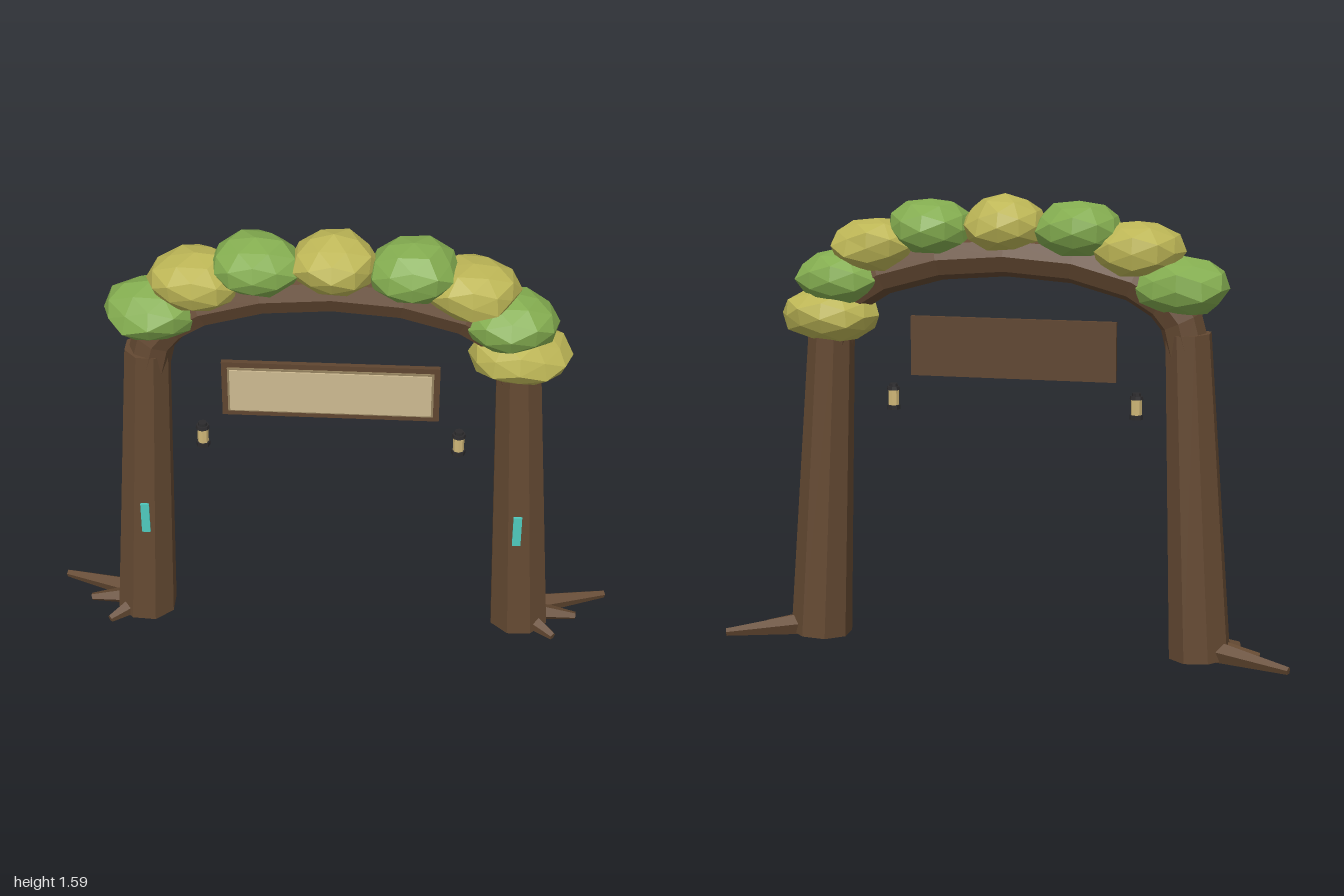
import * as THREE from 'three';

const flat = (name, color, extra = {}) => {
  const m = new THREE.MeshStandardMaterial({ color, flatShading: true, ...extra });
  m.name = name;
  return m;
};

export function createModel() {
  const root = new THREE.Group();
  root.name = 'gardenArch';
  const bark = flat('bark', 0x644932);
  const green = flat('leafGreen', 0x84ad50);
  const yellow = flat('leafYellow', 0xbdb656);
  const frame = flat('signFrame', 0x5f4530);
  const parchment = flat('parchment', 0xcdba91);
  const rim = flat('parchmentRim', 0x95835f);
  const iron = flat('iron', 0x2c2b2d);
  const glow = flat('lanternGlass', 0xd0b878);
  const teal = flat('tealMark', 0x4fcabe);

  const add = (parent, name, geo, mat, x = 0, y = 0, z = 0) => {
    const mesh = new THREE.Mesh(geo, mat);
    mesh.name = name;
    mesh.position.set(x, y, z);
    parent.add(mesh);
    return mesh;
  };

  // Tapered limb running between two points
  const limb = (parent, name, a, b, ra, rb, sides, turn = 0) => {
    const dir = b.clone().sub(a);
    const geo = new THREE.CylinderGeometry(rb, ra, dir.length(), sides);
    geo.rotateY(turn);
    const mesh = add(parent, name, geo, bark);
    mesh.position.copy(a).add(b).multiplyScalar(0.5);
    mesh.quaternion.setFromUnitVectors(new THREE.Vector3(0, 1, 0), dir.normalize());
    return mesh;
  };
  const v = (x, y, z = 0) => new THREE.Vector3(x, y, z);

  for (const s of [-1, 1]) {
    const side = s > 0 ? 'left' : 'right';
    // Leaning post
    limb(root, side + 'Post', v(s * 0.683, 0.015), v(s * 0.625, 1.14), 0.109, 0.08, 8, Math.PI / 8);

    // Splayed roots: long rear, middle, short front
    [[1.0, -0.13], [0.89, 0], [0.805, 0.12]].forEach(([x, z], i) => {
      limb(root, side + 'Root' + (i + 1), v(s * 0.68, 0.05, z * 0.1),
        v(s * x, 0.024, z), 0.045, 0.014, 5);
    });

    // Teal marker plate
    add(root, side + 'Marker', new THREE.BoxGeometry(0.03, 0.122, 0.008), teal, s * 0.652, 0.49, 0.108);

    // Hanging lantern
    const lantern = new THREE.Group();
    lantern.name = side + 'Lantern';
    lantern.position.set(s * 0.435, 0, 0.105);
    root.add(lantern);
    add(lantern, 'lanternBase', new THREE.CylinderGeometry(0.024, 0.024, 0.016, 8), iron, 0, 0.825, 0);
    add(lantern, 'lanternGlass', new THREE.CylinderGeometry(0.019, 0.019, 0.06, 8), glow, 0, 0.862, 0);
    add(lantern, 'lanternCap', new THREE.CylinderGeometry(0.022, 0.024, 0.012, 8), iron, 0, 0.893, 0);
    add(lantern, 'lanternKnob', new THREE.CylinderGeometry(0.015, 0.016, 0.011, 8), iron, 0, 0.904, 0);
  }

  // Curved beam joining the posts
  const half = [[0.625, 1.08], [0.6, 1.18], [0.545, 1.25], [0.44, 1.315], [0.235, 1.372]];
  const path = new THREE.CurvePath();
  const pts = [
    ...half.map(([x, y]) => v(-x, y)), v(0, 1.39), ...half.map(([x, y]) => v(x, y)).reverse(),
  ];
  for (let i = 1; i < pts.length; i++) path.add(new THREE.LineCurve3(pts[i - 1], pts[i]));
  // Sample exactly at the bends so the beam stays faceted
  path.getPointAt = (u) => path.curves[Math.min(9, Math.floor(u * 10 + 1e-6))]
    .getPoint(u * 10 - Math.min(9, Math.floor(u * 10 + 1e-6)));
  path.getTangentAt = (u) => {
    const i = Math.round(u * 10);
    return pts[Math.min(10, i + 1)].clone().sub(pts[Math.max(0, i - 1)]).normalize();
  };
  add(root, 'archBeam', new THREE.TubeGeometry(path, 10, 0.075, 8, false), bark);

  // Faceted leaf clumps with small repeatable bumps
  const clump = (seed, rx, ry, rz) => {
    const geo = new THREE.IcosahedronGeometry(1, 1);
    const p = geo.attributes.position;
    const q = new THREE.Vector3();
    for (let i = 0; i < p.count; i++) {
      q.fromBufferAttribute(p, i).normalize();
      const k = [q.x, q.y, q.z].map((c) => Math.round(c * 1000) / 1000);
      const h = Math.sin(k[0] * 12.7 + k[1] * 31.1 + k[2] * 47.3 + seed * 5.9) * 43.7;
      q.multiplyScalar(0.93 + 0.13 * (h - Math.floor(h)));
      p.setXYZ(i, q.x * rx, q.y * ry, q.z * rz);
    }
    geo.computeVertexNormals();
    return geo;
  };
  [
    [-0.597, 1.295, 0.168, 0.102], [-0.45, 1.415, 0.16, 0.1], [-0.25, 1.477, 0.16, 0.1],
    [0.005, 1.492, 0.147, 0.1], [0.265, 1.475, 0.155, 0.1], [0.46, 1.412, 0.158, 0.098],
    [0.59, 1.295, 0.162, 0.1], [0.625, 1.166, 0.172, 0.1],
  ].forEach(([x, y, rx, ry], i) => {
    add(root, 'leafClump' + (i + 1), clump(i + 1, rx, ry, 0.143), i % 2 ? yellow : green, x, y, 0);
  });

  // Sign board with a raised parchment face
  const sign = new THREE.Group();
  sign.name = 'sign';
  sign.position.set(0, 1.05, 0);
  root.add(sign);
  add(sign, 'signBacking', new THREE.BoxGeometry(0.73, 0.21, 0.018), frame, 0, 0, 0.095);
  add(sign, 'signRim', new THREE.BoxGeometry(0.69, 0.172, 0.006), rim, 0, 0, 0.106);
  add(sign, 'signFace', new THREE.BoxGeometry(0.675, 0.158, 0.006), parchment, 0, 0, 0.111);

  return root;
}
